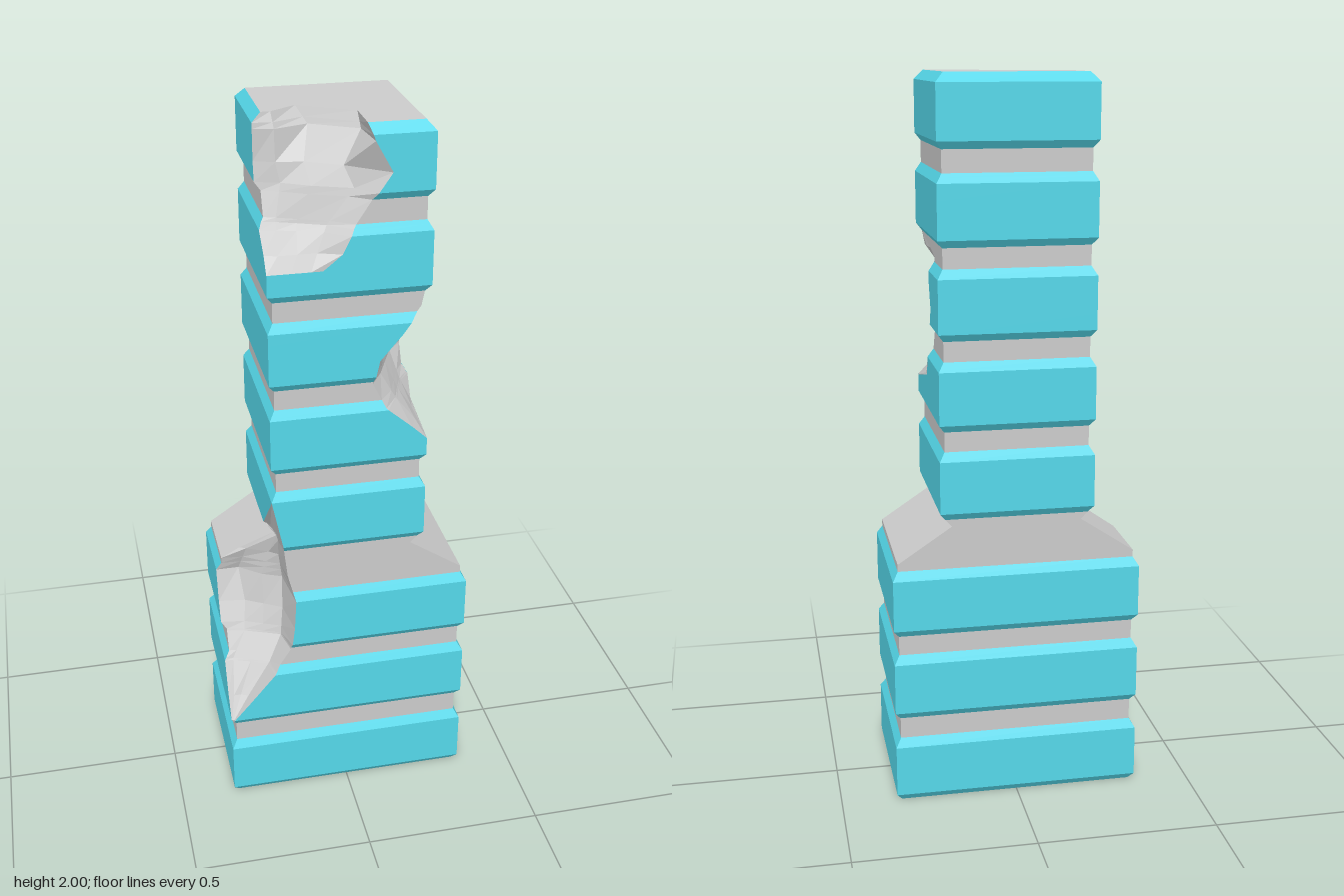
import * as THREE from 'three';

// Band bases: three wide ones below, five narrow ones above
const BANDS = [0, 0.25, 0.495, 0.825, 1.07, 1.315, 1.56, 1.81];
const BAND_H = 0.19;

// Silhouette of the undamaged tower: [y, half width, half depth]
const profile = [];
BANDS.forEach((b, i) => {
  const w = i < 3 ? 0.345 : 0.213, inner = i < 3 ? 0.33 : 0.198;
  const top = i === 7 ? 0.19 : inner;
  profile.push([b, inner, 0.198], [b + 0.02, w, 0.213], [b + 0.165, w, 0.213],
    [b + BAND_H, top, i === 7 ? 0.19 : 0.198]);
  // sloping shoulder between the wide and the narrow part
  if (i === 2) profile.push([0.705, 0.33, 0.198], [0.805, 0.18, 0.198]);
});

// Broken front corners, as rows of
// [y, front edge x, three inner points (x, z), side edge z], x pointing to the broken side
const leftBites = [
  [
    [0.26, 0.345, 0.345, 0.213, 0.345, 0.213, 0.345, 0.213, 0.213],
    [0.33, 0.285, 0.29, 0.18, 0.31, 0.17, 0.33, 0.17, 0.16],
    [0.42, 0.21, 0.22, 0.15, 0.27, 0.13, 0.32, 0.11, 0.11],
    [0.49, 0.165, 0.18, 0.12, 0.23, 0.1, 0.28, 0.08, 0.07],
    [0.57, 0.155, 0.17, 0.1, 0.22, 0.07, 0.27, 0.04, 0.03],
    [0.66, 0.15, 0.165, 0.075, 0.22, 0.05, 0.28, 0.0, 0.0],
    [0.74, 0.17, 0.175, 0.08, 0.2, 0.06, 0.26, 0.03, 0.02],
    [0.83, 0.18, 0.185, 0.12, 0.19, 0.09, 0.195, 0.07, 0.05],
    [0.99, 0.213, 0.213, 0.213, 0.213, 0.213, 0.213, 0.213, 0.213],
  ],
  [
    [1.64, 0.07, 0.1, 0.213, 0.15, 0.213, 0.19, 0.213, 0.213],
    [1.68, 0.02, 0.08, 0.19, 0.13, 0.19, 0.18, 0.19, 0.18],
    [1.74, -0.01, 0.05, 0.16, 0.12, 0.13, 0.17, 0.11, 0.1],
    [1.83, -0.07, -0.02, 0.16, 0.08, 0.12, 0.15, 0.08, 0.06],
    [1.88, -0.105, 0.0, 0.13, 0.09, 0.08, 0.16, 0.07, 0.05],
    [1.96, -0.06, -0.05, 0.1, 0.07, 0.03, 0.16, 0.06, 0.05],
    [2.0, -0.045, -0.045, 0.08, 0.095, 0.0, 0.165, 0.045, 0.045],
  ],
];
const rightBites = [
  [
    [1.14, 0.213, 0.213, 0.213, 0.213, 0.213, 0.213, 0.213, 0.2],
    [1.18, 0.17, 0.19, 0.17, 0.2, 0.1, 0.21, 0.05, 0.02],
    [1.24, 0.1, 0.14, 0.15, 0.16, 0.09, 0.18, 0.04, 0.0],
    [1.31, 0.065, 0.1, 0.14, 0.13, 0.07, 0.16, 0.0, -0.04],
    [1.38, 0.08, 0.11, 0.13, 0.12, 0.08, 0.16, 0.0, -0.07],
    [1.45, 0.14, 0.14, 0.15, 0.15, 0.08, 0.17, 0.01, -0.04],
    [1.52, 0.19, 0.19, 0.16, 0.18, 0.1, 0.19, 0.04, -0.05],
    [1.56, 0.213, 0.213, 0.213, 0.213, 0.213, 0.213, 0.213, 0.213],
  ],
];

// Linear interpolation in rows sorted by their first entry
function sample(rows, y) {
  let i = 0;
  while (i < rows.length - 2 && rows[i + 1][0] < y) i++;
  const a = rows[i], b = rows[i + 1];
  const t = THREE.MathUtils.clamp((y - a[0]) / (b[0] - a[0]), 0, 1);
  return a.map((v, k) => v + (b[k] - v) * t);
}

const biteAt = (bites, y) =>
  bites.find((r) => y >= r[0][0] - 1e-6 && y <= r[r.length - 1][0] + 1e-6);

// Five points of a front corner, from the front face round to the side face
function corner(bites, side, y, hx, hz) {
  const rows = biteAt(bites, y);
  if (!rows) return Array.from({ length: 5 }, () => new THREE.Vector3(side * hx, y, hz));
  const [, ax, x1, z1, x2, z2, x3, z3, bz] = sample(rows, y);
  return [[ax, hz], [x1, z1], [x2, z2], [x3, z3], [hx, bz]].map(([x, z]) =>
    new THREE.Vector3(side * Math.min(x, hx), y, Math.min(z, hz)));
}

// Cross-section: back left, front left corner, front right corner, back right
function ring(y) {
  const [, hx, hz] = sample(profile, y);
  return [
    new THREE.Vector3(-hx, y, -hz),
    ...corner(leftBites, -1, y, hx, hz).reverse(),
    ...corner(rightBites, 1, y, hx, hz),
    new THREE.Vector3(hx, y, -hz),
  ];
}

export function createModel() {
  const group = new THREE.Group();
  const parts = { bands: [], core: [], brokenStone: [] };

  function tri(list, a, b, c) {
    const area = b.clone().sub(a).cross(c.clone().sub(a)).length();
    if (area > 1e-7) for (const p of [a, b, c]) list.push(p.x, p.y, p.z);
  }

  const levels = [...profile, ...leftBites.flat(), ...rightBites.flat()]
    .map((r) => r[0]).sort((a, b) => a - b)
    .filter((y, i, all) => i === 0 || y - all[i - 1] > 1e-5);
  const rings = levels.map(ring);

  // Walls between neighbouring cross-sections
  for (let i = 0; i < rings.length - 1; i++) {
    const lo = rings[i], hi = rings[i + 1], n = lo.length;
    const mid = (levels[i] + levels[i + 1]) / 2;
    const inBand = BANDS.some((b) => mid > b && mid < b + BAND_H);
    for (let j = 0; j < n; j++) {
      const k = (j + 1) % n;
      const broken = (j >= 1 && j <= 4 && biteAt(leftBites, mid)) ||
        (j >= 6 && j <= 9 && biteAt(rightBites, mid));
      const list = broken ? parts.brokenStone : inBand ? parts.bands : parts.core;
      tri(list, lo[j], lo[k], hi[k]);
      tri(list, lo[j], hi[k], hi[j]);
    }
  }

  // Top and bottom caps
  for (const [r, up] of [[rings[rings.length - 1], true], [rings[0], false]]) {
    const pts = r.filter((p, i) => i === 0 || p.distanceTo(r[i - 1]) > 1e-5);
    const flat = pts.map((p) => new THREE.Vector2(p.x, -p.z));
    for (const [a, b, c] of THREE.ShapeUtils.triangulateShape(flat, [])) {
      const ccw = flat[b].clone().sub(flat[a]).cross(flat[c].clone().sub(flat[a])) > 0;
      if (ccw === up) tri(parts.core, pts[a], pts[b], pts[c]);
      else tri(parts.core, pts[a], pts[c], pts[b]);
    }
  }

  for (const [name, positions] of Object.entries(parts)) {
    const geometry = new THREE.BufferGeometry();
    geometry.setAttribute('position', new THREE.Float32BufferAttribute(positions, 3));
    geometry.computeVertexNormals();
    const mesh = new THREE.Mesh(geometry, new THREE.MeshStandardMaterial({
      color: name === 'bands' ? 0x55d8ea : 0xcccccc, flatShading: true,
    }));
    mesh.name = name;
    group.add(mesh);
  }
  return group;
}
